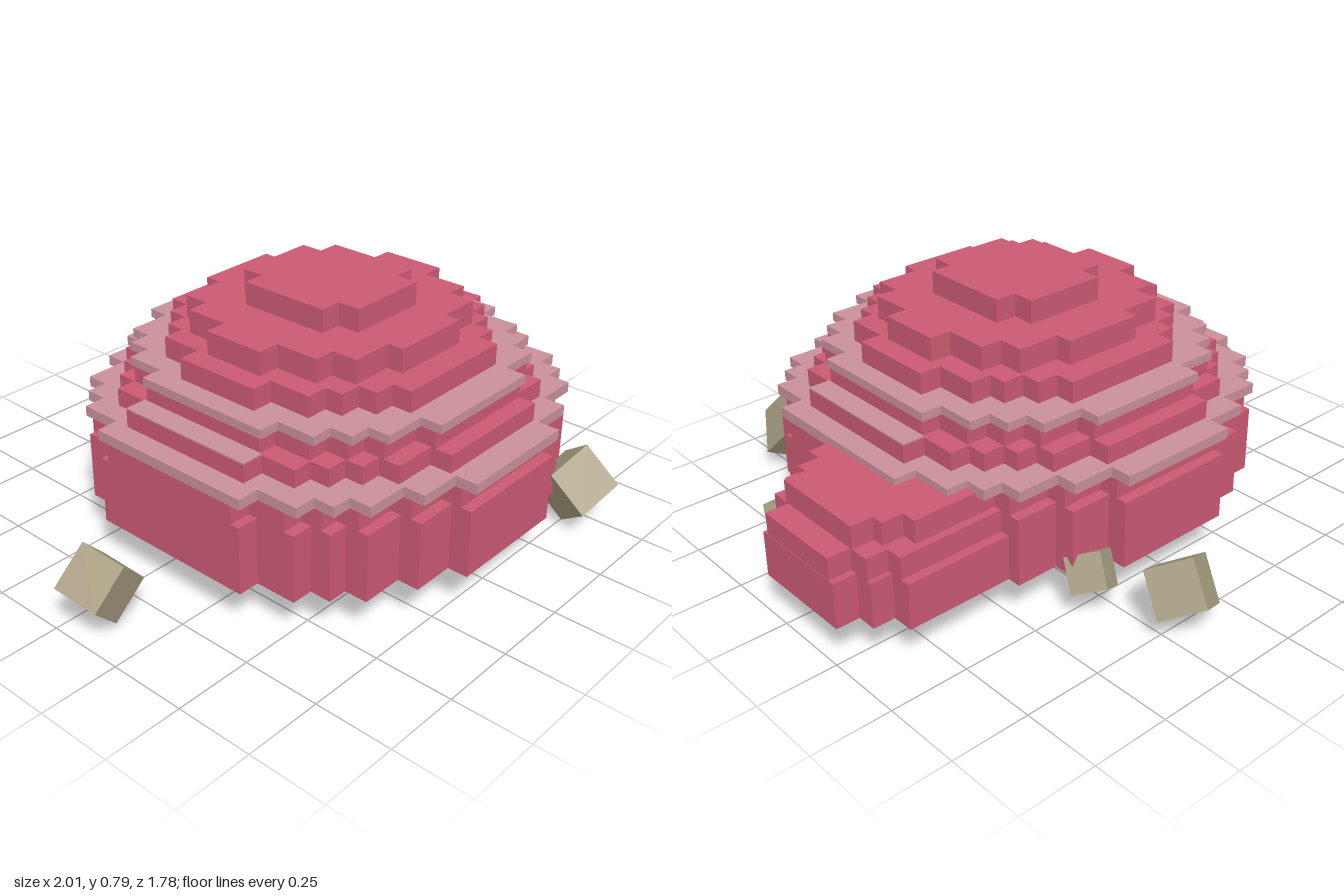
import * as THREE from 'three';

const mat = (name, color) => Object.assign(new THREE.MeshStandardMaterial({ color }), { name });

// Stepped round slab: steps are [halfWidth, halfDepth] pairs, narrow-deep to wide-shallow
function slab(name, steps, y0, y1, cx, cz, material) {
  const q = [];
  steps.forEach(([x, z], i) => {
    q.push([x, z]);
    if (i < steps.length - 1) q.push([x, steps[i + 1][1]]);
  });
  const r = [...q].reverse();
  const pts = [
    ...q,
    ...r.map(([x, z]) => [x, -z]),
    ...q.map(([x, z]) => [-x, -z]),
    ...r.map(([x, z]) => [-x, z]),
  ].map(([x, z]) => new THREE.Vector2(x, z));
  const geo = new THREE.ExtrudeGeometry(new THREE.Shape(pts), { depth: y1 - y0, bevelEnabled: false });
  geo.rotateX(-Math.PI / 2);
  const mesh = new THREE.Mesh(geo, material);
  mesh.position.set(cx, y0, cz);
  mesh.name = name;
  return mesh;
}

export function createModel() {
  const group = new THREE.Group();
  group.name = 'steppedMound';
  const red = mat('roseRed', 0xcb5a73);
  const pink = mat('dustyPink', 0xc9909b);
  const tan = mat('stoneTan', 0xa79c80);

  // Main dome, bottom to top
  const cx = 0.025, cz = 0.117;
  const dome = [
    ['baseWall', [[.205, .695], [.345, .63], [.485, .56], [.55, .485], [.62, .415], [.69, .28]], .125, .34, red],
    ['upperWall', [[.205, .66], [.345, .595], [.485, .525], [.55, .45], [.62, .38], [.69, .25]], .34, .40, red],
    ['lowerRing', [[.205, .707], [.345, .637], [.485, .567], [.55, .495], [.62, .425], [.692, .285]], .40, .433, pink],
    ['lowerTier', [[.205, .62], [.345, .55], [.415, .48], [.485, .42], [.55, .355], [.622, .235]], .433, .49, red],
    ['middleTier', [[.205, .565], [.345, .495], [.415, .425], [.485, .35], [.55, .225]], .49, .54, red],
    ['upperRing', [[.205, .58], [.345, .51], [.415, .44], [.485, .365], [.553, .235]], .54, .568, pink],
    ['upperTier', [[.205, .475], [.275, .41], [.345, .345], [.415, .285], [.485, .145]], .568, .635, red],
    ['crownTier', [[.135, .388], [.275, .335], [.345, .25], [.415, .105]], .635, .71, red],
    ['topCap', [[.135, .225], [.205, .152]], .71, .783, red],
  ];
  for (const [name, steps, y0, y1, m] of dome) group.add(slab(name, steps, y0, y1, cx, cz, m));

  // Pink ledges on both flanks of the lower tier
  for (const s of [1, -1]) {
    const ledge = new THREE.Mesh(new THREE.BoxGeometry(.072, .005, .47), pink);
    ledge.position.set(cx + s * .586, .4925, cz);
    ledge.name = 'flankLedge';
    group.add(ledge);
  }

  // Small side lobe on the left
  const lx = 0.6, lz = -0.095;
  const lobe = [
    ['lobeBase', [[.255, .305], [.325, .235], [.4, .17]], .125, .27],
    ['lobeMiddle', [[.255, .275], [.325, .22], [.398, .15]], .27, .34],
    ['lobeTop', [[.185, .25], [.255, .2], [.325, .16]], .34, .412],
  ];
  for (const [name, steps, y0, y1] of lobe) group.add(slab(name, steps, y0, y1, lx, lz, red));

  // Loose tilted stones: size, position, rotation
  const stones = [
    [.148, [-.9, .138, .083], [.2, .15, .75]],
    [.158, [.455, .13, .77], [.8, .15, .45]],
    [.088, [.803, .14, .295], [.3, .6, .15]],
    [.148, [.182, .13, -.757], [.5, .6, .2]],
    [.11, [.312, .125, -.527], [.4, .6, .25]],
  ];
  for (const [size, p, r] of stones) {
    const stone = new THREE.Mesh(new THREE.BoxGeometry(size, size, size), tan);
    stone.position.set(...p);
    stone.rotation.set(...r);
    stone.name = 'looseStone';
    group.add(stone);
  }
  return group;
}
